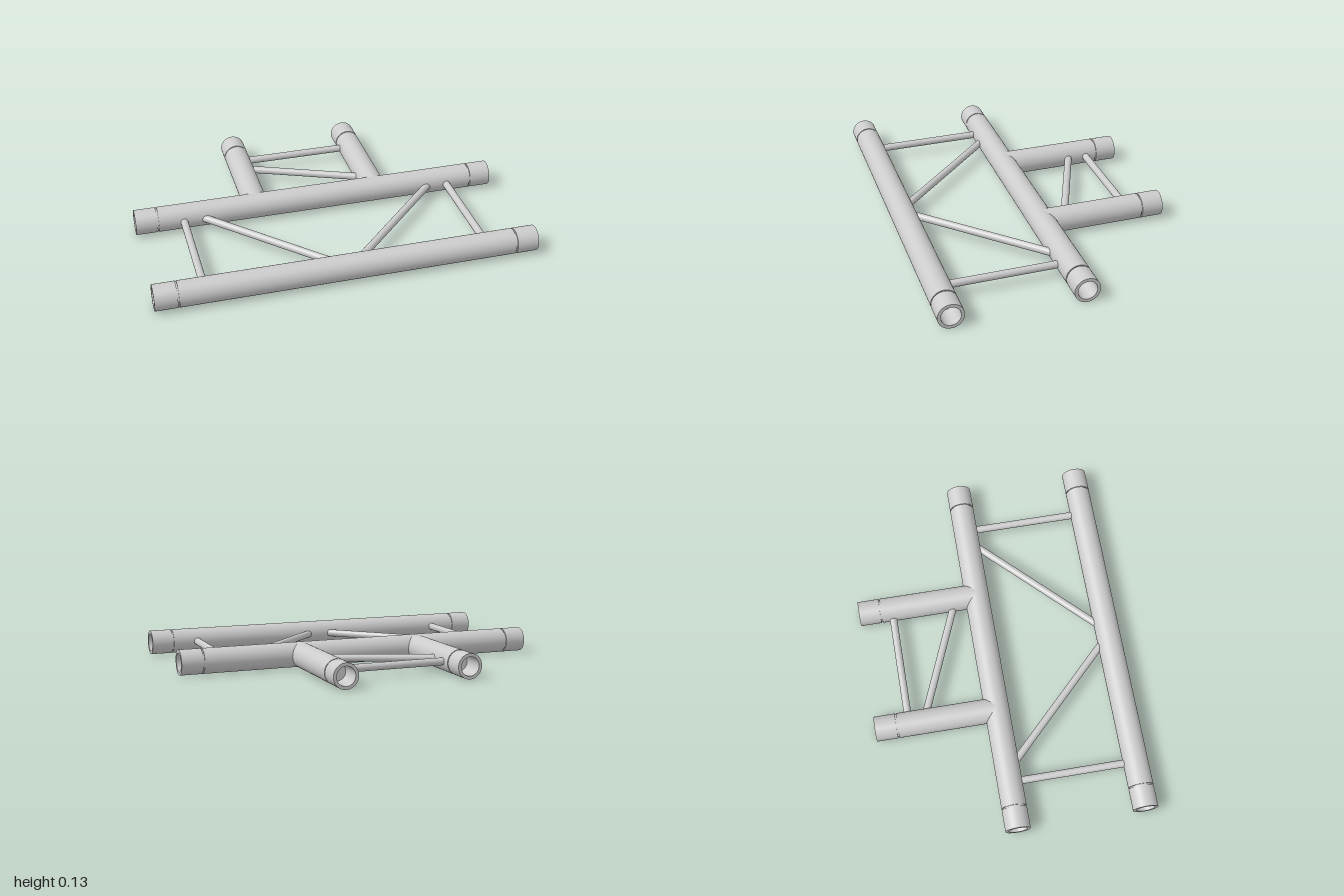
import * as THREE from 'three';

const R = 0.067;              // chord radius
const Y = R;                  // height of all tube axes
const FRONT_Z = 0.636, BACK_Z = -0.042, END_Z = -0.703;
const STUB_X = 0.337;

const material = new THREE.MeshStandardMaterial({ color: 0xcccccc });
const point = (x, z) => new THREE.Vector3(x, Y, z);

// Aim a mesh built along +y from a to b
function place(mesh, name, a, b) {
  mesh.name = name;
  mesh.position.copy(a).add(b).multiplyScalar(0.5);
  mesh.quaternion.setFromUnitVectors(new THREE.Vector3(0, 1, 0), b.clone().sub(a).normalize());
  return mesh;
}

// Profile of an open tube end: tapered socket, rim and a thin groove behind the collar
function endProfile(half) {
  return [
    [0, half - 0.12], [0.045, half - 0.12], [0.05, half], [R, half],
    [R, half - 0.115], [R - 0.006, half - 0.115], [R - 0.006, half - 0.122], [R, half - 0.122],
  ];
}

// Each straight piece of the profile is its own band, so its edges stay sharp
function chord(name, a, b, openStart) {
  const half = a.distanceTo(b) / 2;
  const top = endProfile(half);
  const bottom = openStart
    ? endProfile(half).map(([r, y]) => [r, -y]).reverse()
    : [[R, -half], [0, -half]];
  const profile = [...top, ...bottom].reverse().map(([r, y]) => new THREE.Vector2(r, y));
  const group = place(new THREE.Group(), name, a, b);
  for (let i = 0; i < profile.length - 1; i++) {
    const band = new THREE.Mesh(new THREE.LatheGeometry([profile[i], profile[i + 1]], 48), material);
    band.name = name + 'Band';
    group.add(band);
  }
  return group;
}

function brace(name, a, b) {
  const geometry = new THREE.CylinderGeometry(0.02, 0.02, a.distanceTo(b), 24);
  return place(new THREE.Mesh(geometry, material), name, a, b);
}

export function createModel() {
  const model = new THREE.Group();
  model.name = 'trussJunction';

  // Two long parallel chords, open at both ends
  model.add(chord('frontChord', point(-1, FRONT_Z), point(1, FRONT_Z), true));
  model.add(chord('backChord', point(-1, BACK_Z), point(1, BACK_Z), true));

  for (const [side, s] of [['left', 1], ['right', -1]]) {
    // Branch tube running back from the rear chord
    model.add(chord(side + 'Branch', point(s * STUB_X, BACK_Z), point(s * STUB_X, END_Z), false));
    // Straight and diagonal braces between the long chords
    model.add(brace(side + 'Post', point(s * 0.742, BACK_Z + 0.03), point(s * 0.742, FRONT_Z - 0.03)));
    model.add(brace(side + 'Diagonal', point(s * 0.652, -0.01), point(s * 0.047, 0.6)));
  }

  // Braces between the branch tubes
  model.add(brace('branchCrossbar', point(-STUB_X + 0.03, -0.521), point(STUB_X - 0.03, -0.521)));
  model.add(brace('branchDiagonal', point(-0.307, -0.428), point(0.307, -0.176)));
  return model;
}
